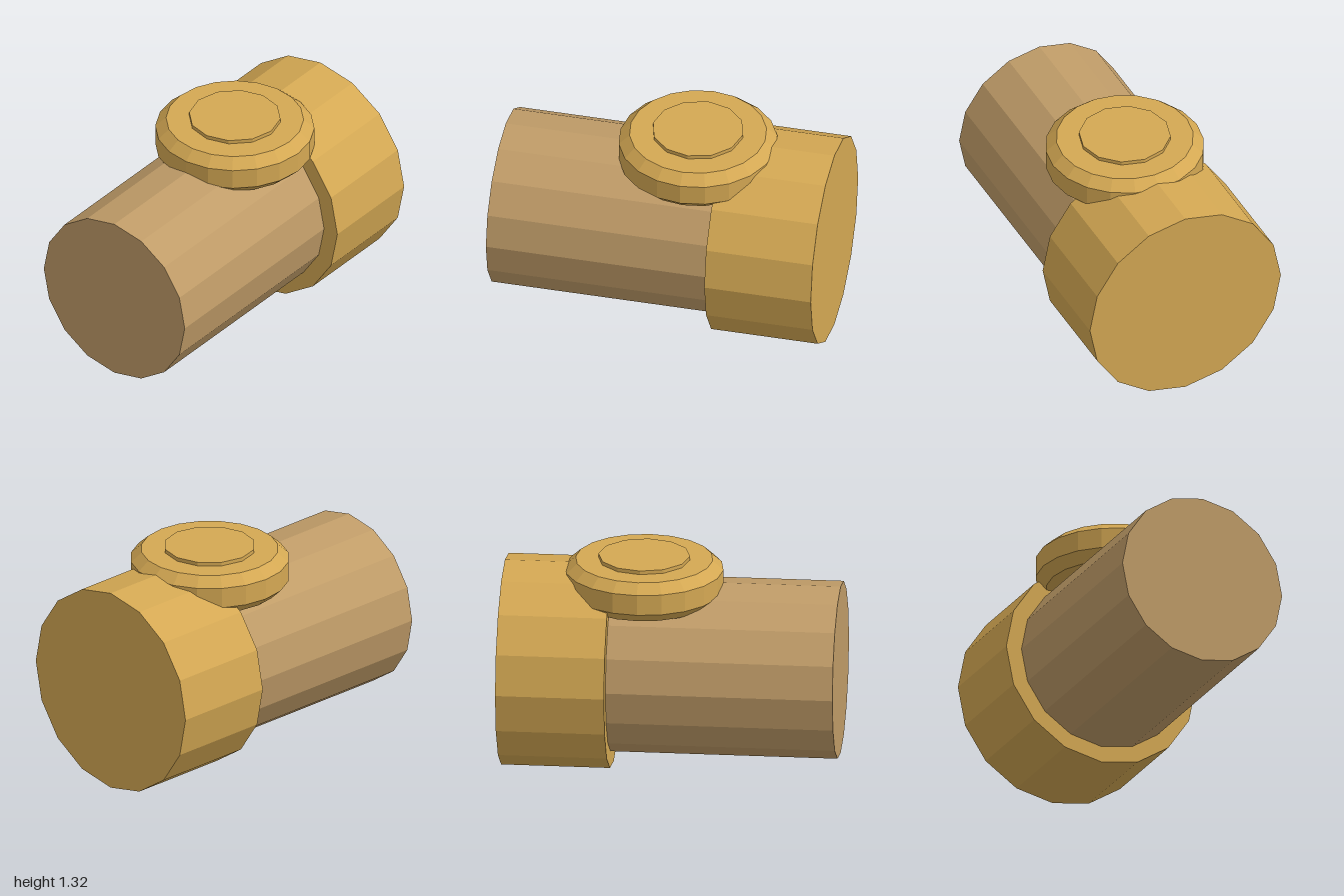
import * as THREE from 'three';

const AXIS_Y = 0.628; // height of the horizontal axis
const KNOB_X = 0.17;  // centre of the round knob on top

export function createModel() {
  const model = new THREE.Group();
  model.name = 'model';
  const gold = new THREE.MeshStandardMaterial({ color: 0xd4a853, flatShading: true });
  gold.name = 'gold';
  const tan = new THREE.MeshStandardMaterial({ color: 0xc09c68, flatShading: true });
  tan.name = 'tan';

  function add(name, geometry, material) {
    const mesh = new THREE.Mesh(geometry, material);
    mesh.name = name;
    model.add(mesh);
  }

  // Sixteen-sided drum lying along x, with a corner at the top
  function drum(radius, x0, x1) {
    return new THREE.CylinderGeometry(radius, radius, x1 - x0, 16)
      .rotateZ(Math.PI / 2)
      .translate((x0 + x1) / 2, AXIS_Y, 0);
  }

  // Body and wider end cap
  add('barrel', drum(0.528, -1, 0.4), tan);
  add('endCap', drum(0.628, 0.352, 1), gold);

  // Chamfered knob, partly sunk into the body
  const profile = [[0, 1.05], [0.41, 1.05], [0.472, 1.11], [0.472, 1.235], [0.408, 1.293], [0, 1.293]];
  const knob = new THREE.LatheGeometry(profile.map(([r, y]) => new THREE.Vector2(r, y)), 20);
  add('knob', knob.translate(KNOB_X, 0, 0), gold);

  // Thin raised disc on the knob
  const disc = new THREE.CylinderGeometry(0.273, 0.273, 0.035, 12);
  add('knobDisc', disc.translate(KNOB_X, 1.2985, 0), gold);

  return model;
}
